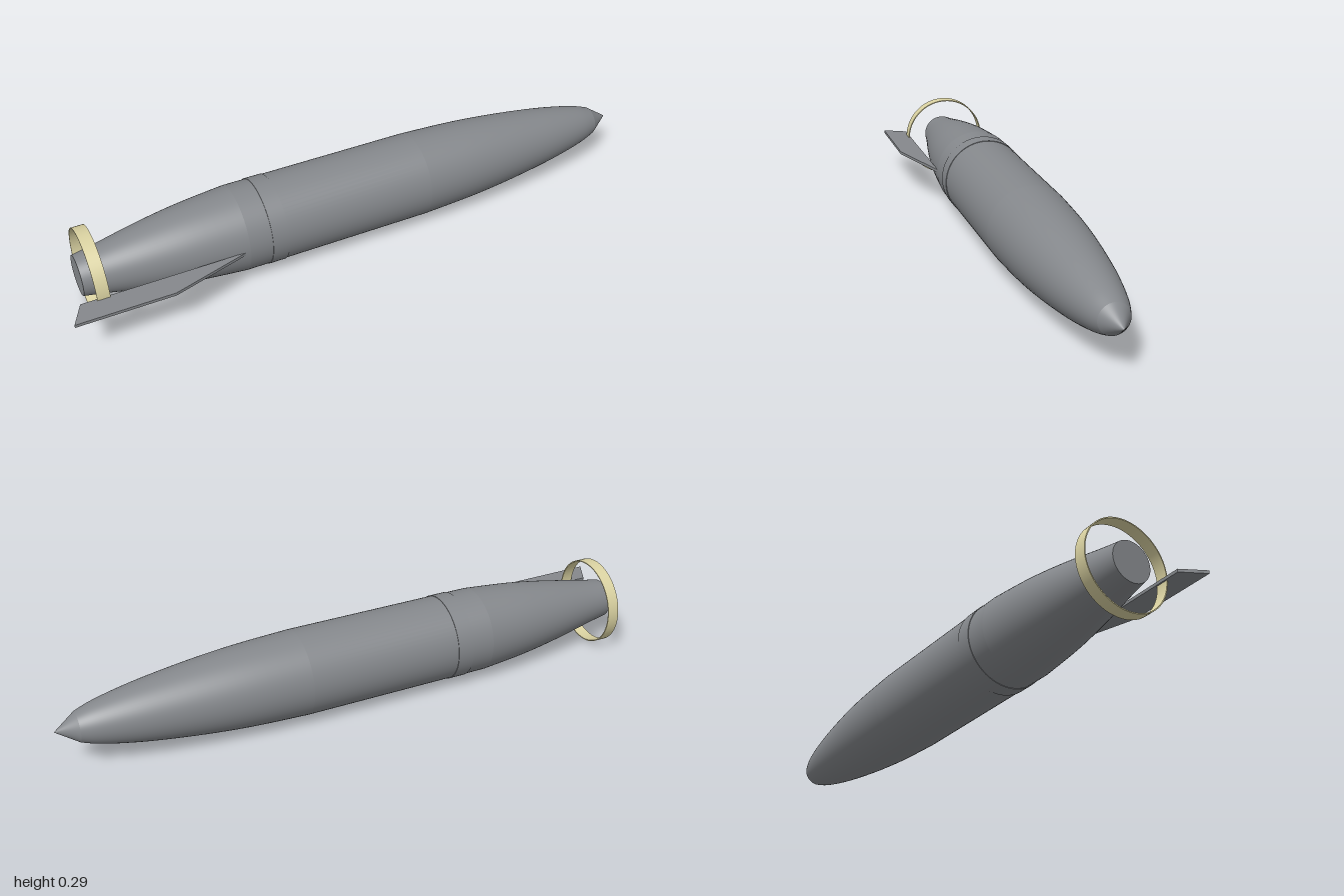
import * as THREE from 'three';

const AXIS_Y = 0.1445, AXIS_Z = -0.036, SEGMENTS = 64;

export function createModel() {
  const model = new THREE.Group();
  const grey = new THREE.MeshStandardMaterial({ color: 0x85888c });
  grey.name = 'hull grey';
  const cream = new THREE.MeshStandardMaterial({ color: 0xdbd3a2 });
  cream.name = 'pale yellow';

  const add = (name, geometry, material) => {
    const mesh = new THREE.Mesh(geometry, material);
    mesh.name = name;
    model.add(mesh);
    return mesh;
  };

  // Turned part along the x axis, from [x, radius] pairs running tail to nose
  const turned = (name, profile, material) => {
    const points = profile.map(([x, r]) => new THREE.Vector2(r, x));
    const geometry = new THREE.LatheGeometry(points, SEGMENTS);
    geometry.rotateZ(-Math.PI / 2);
    geometry.translate(0, AXIS_Y, AXIS_Z);
    return add(name, geometry, material);
  };

  // Smooth curve through a few stations
  const smooth = (stations, count) =>
    new THREE.SplineCurve(stations.map(([x, r]) => new THREE.Vector2(x, r)))
      .getPoints(count).map((p) => [p.x, p.y]);

  // Hull: tapered tail, straight middle, rounded forebody, pointed nose
  turned('tailEnd', [[-0.93, 0], [-0.93, 0.065]], grey);
  turned('tailBody', smooth(
    [[-0.93, 0.065], [-0.86, 0.077], [-0.72, 0.104], [-0.58, 0.125], [-0.42, 0.14]], 20), grey);
  turned('middleBody', [[-0.42, 0.14], [0.22, 0.14]], grey);
  turned('foreBody', smooth(
    [[0.22, 0.14], [0.4, 0.132], [0.55, 0.119], [0.7, 0.1], [0.8, 0.083], [0.88, 0.065], [0.93, 0.048]],
    30), grey);
  turned('noseCone', [[0.93, 0.048], [1, 0]], grey);

  // Slightly raised joint band
  for (const [name, profile] of [
    ['bandRearEdge', [[-0.345, 0.139], [-0.345, 0.142]]],
    ['bandFace', [[-0.345, 0.142], [-0.29, 0.142]]],
    ['bandFrontEdge', [[-0.29, 0.142], [-0.29, 0.139]]],
  ]) turned(name, profile, grey);

  // Thin hoop around the tail
  for (const [name, profile] of [
    ['hoopOuter', [[-0.91, 0.1445], [-0.87, 0.1445]]],
    ['hoopFrontEdge', [[-0.87, 0.1445], [-0.87, 0.141]]],
    ['hoopInner', [[-0.87, 0.141], [-0.91, 0.141]]],
    ['hoopRearEdge', [[-0.91, 0.141], [-0.91, 0.1445]]],
  ]) turned(name, profile, cream);

  // Single swept fin on the front side
  const outline = new THREE.Shape(
    [[-0.96, 0.1], [-0.43, 0.1], [-0.69, 0.179], [-1, 0.179]].map(([x, z]) => new THREE.Vector2(x, z)));
  const fin = new THREE.ExtrudeGeometry(outline, { depth: 0.01, bevelEnabled: false });
  fin.rotateX(Math.PI / 2);
  fin.translate(0, 0.151, 0);
  add('tailFin', fin, grey);

  return model;
}
